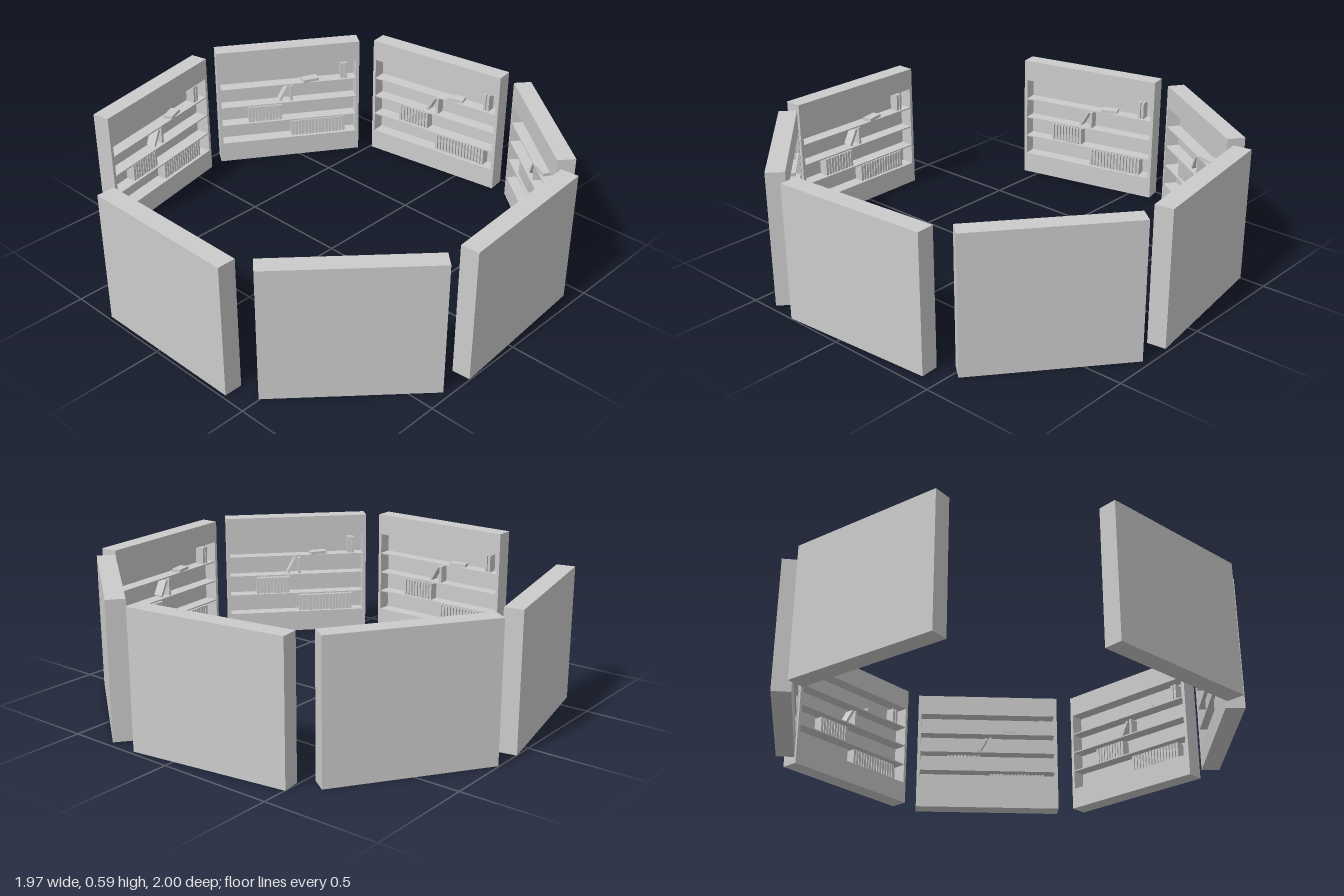
import * as THREE from 'three';

const W = 0.7, H = 0.59, D = 0.08;        // bookcase size
const BACK = 0.016, SIDE = 0.015;         // panel thicknesses
const LOW = 0.1, HIGH = 0.49;             // opening in the front
const SHELVES = [0.197, 0.295, 0.393];    // top of each shelf
const SHELF = 0.006;
const zBack = -D / 2 + BACK;              // inner face of the back panel

const material = new THREE.MeshStandardMaterial({ color: 0xcccccc, flatShading: true });

function add(group, name, geometry, x, y, z) {
  const mesh = new THREE.Mesh(geometry, material);
  mesh.name = name;
  mesh.position.set(x, y, z);
  group.add(mesh);
  return mesh;
}

const box = (group, name, w, h, d, x, y, z) =>
  add(group, name, new THREE.BoxGeometry(w, h, d), x, y, z);

// distance along the width, from 0 (left end) to 1 (right end)
const along = (t) => (t - 0.5) * W;

function frameGeometry() {
  const rect = (path, x, y0, y1) => path
    .moveTo(-x, y0).lineTo(x, y0).lineTo(x, y1).lineTo(-x, y1).closePath();
  const shape = new THREE.Shape();
  rect(shape, W / 2, 0, H);
  const hole = new THREE.Path();
  rect(hole, W / 2 - SIDE, LOW, HIGH);
  shape.holes.push(hole);
  return new THREE.ExtrudeGeometry(shape, { depth: D - BACK, bevelEnabled: false });
}

// a row of upright books with small gaps
function bookRow(group, start, end, y, count) {
  const pitch = (end - start) * W / count;
  const depth = 0.045;
  for (let i = 0; i < count; i++) {
    const h = 0.08;
    box(group, 'uprightBook', pitch * 0.72, h, depth,
      along(start) + (i + 0.5) * pitch, y + h / 2, zBack + depth / 2 + 0.004);
  }
}

function createBookcase() {
  const g = new THREE.Group();
  g.name = 'bookcase';

  // carcass
  add(g, 'frame', frameGeometry(), 0, 0, zBack);
  box(g, 'backPanel', W, H, BACK, 0, H / 2, -D / 2 + BACK / 2);
  const shelfDepth = D - BACK - 0.003;
  for (const y of SHELVES) {
    box(g, 'shelf', W - 2 * SIDE, SHELF, shelfDepth, 0, y - SHELF / 2, zBack + shelfDepth / 2);
  }

  // upright books
  bookRow(g, 0.515, 0.905, LOW, 16);
  bookRow(g, 0.21, 0.45, SHELVES[0], 10);
  bookRow(g, 0.87, 0.92, SHELVES[2], 2);

  // a book leaning against an upright one
  const zBook = zBack + 0.027;
  box(g, 'supportBook', 0.012, 0.08, 0.045, along(0.52), SHELVES[1] + 0.04, zBook);
  const leaning = box(g, 'leaningBook', 0.012, 0.08, 0.045, along(0.465), SHELVES[1] + 0.041, zBook);
  leaning.rotation.z = -0.5;

  // a book lying flat
  const flat = box(g, 'flatBook', 0.08, 0.014, 0.045, along(0.655), SHELVES[2] + 0.007, zBack + 0.034);
  flat.rotation.y = 0.2;
  return g;
}

export function createModel() {
  const model = new THREE.Group();
  model.name = 'bookcaseRing';
  // x, z and outward direction in degrees; the ring leaves one place open
  const places = [
    [-0.945, 0.04, 180], [-0.63, 0.705, 133], [0.074, 0.933, 86], [0.72, 0.57, 39],
    [0.895, -0.15, -8], [0.485, -0.765, -55.5], [-0.245, -0.89, -102],
  ];
  for (const [x, z, deg] of places) {
    const a = THREE.MathUtils.degToRad(deg);
    const unit = createBookcase();
    unit.position.set(x, 0, z);
    unit.rotation.y = Math.atan2(-Math.cos(a), -Math.sin(a)); // shelves face the middle
    model.add(unit);
  }
  return model;
}
